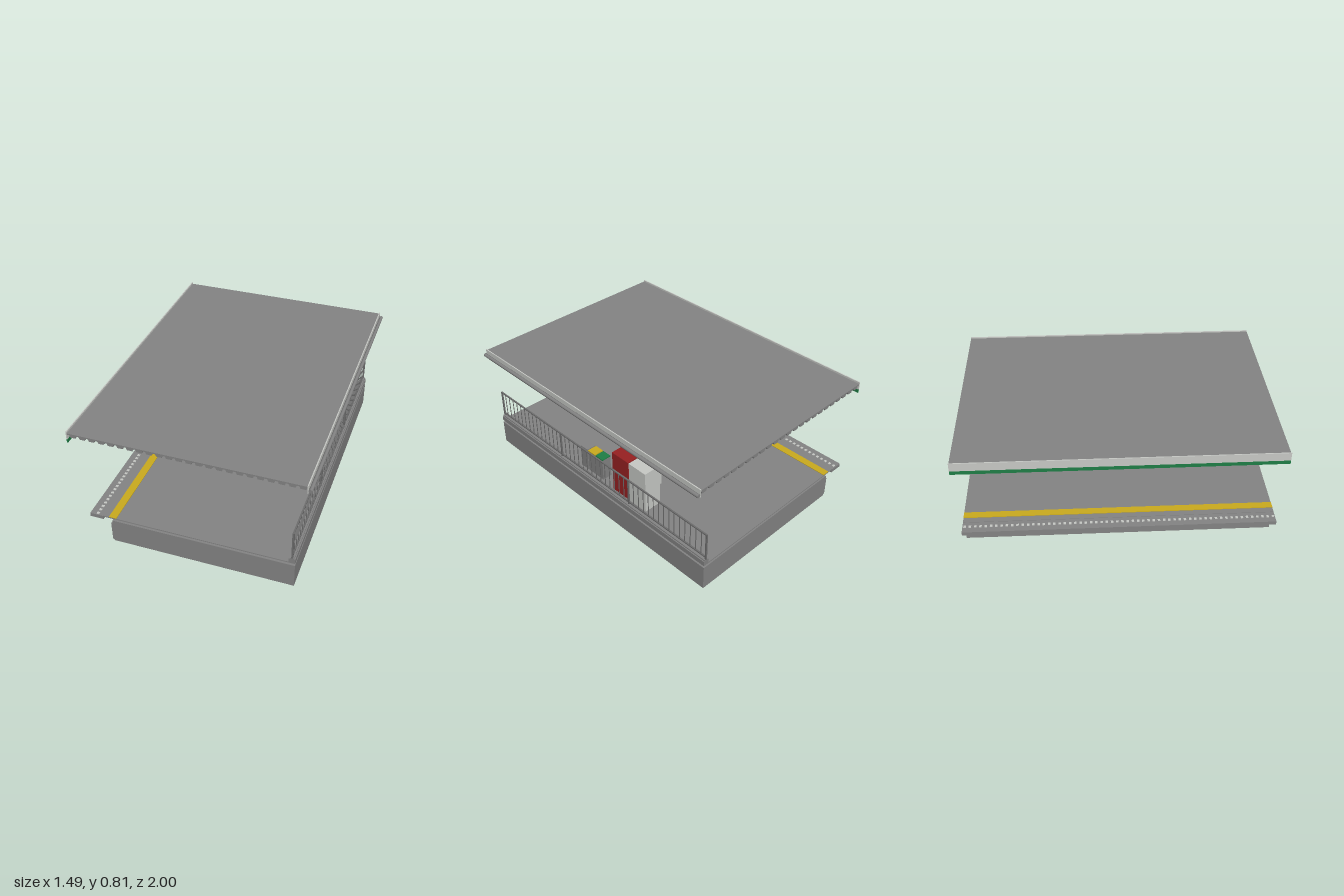
import * as THREE from 'three';

const mat = (name, color) => {
  const m = new THREE.MeshStandardMaterial({ color });
  m.name = name;
  return m;
};

export function createModel() {
  const root = new THREE.Group();
  root.name = 'stationPlatform';
  const grey = mat('concreteGrey', 0x848484);
  const steel = mat('steelGrey', 0x6e6e6e);
  const light = mat('lightGrey', 0xc8cac6);
  const dark = mat('darkGrey', 0x454545);
  const red = mat('machineRed', 0x982022);
  const yellow = mat('safetyYellow', 0xcbab1e);
  const green = mat('stripeGreen', 0x1f7f46);

  // box given by its minimum and maximum on each axis
  const box = (name, m, x0, x1, y0, y1, z0, z1, parent = root) => {
    const mesh = new THREE.Mesh(new THREE.BoxGeometry(x1 - x0, y1 - y0, z1 - z0), m);
    mesh.position.set((x0 + x1) / 2, (y0 + y1) / 2, (z0 + z1) / 2);
    mesh.name = name;
    parent.add(mesh);
    return mesh;
  };
  // front-view outline extruded along z
  const extrude = (name, m, points, z0, z1, parent = root) => {
    const shape = new THREE.Shape(points.map(([x, y]) => new THREE.Vector2(x, y)));
    const geo = new THREE.ExtrudeGeometry(shape, { depth: z1 - z0, bevelEnabled: false });
    const mesh = new THREE.Mesh(geo, m);
    mesh.position.z = z0;
    mesh.name = name;
    parent.add(mesh);
    return mesh;
  };
  const group = (name) => {
    const g = new THREE.Group();
    g.name = name;
    root.add(g);
    return g;
  };

  // platform: foundation, floating deck slab, edge block and tactile strips
  const platform = group('platform');
  box('foundation', grey, -0.51, 0.67, 0, 0.17, -1, 1, platform);
  box('foundationLedge', grey, -0.52, -0.51, 0.01, 0.145, -1, 1, platform);
  box('deckSlab', grey, -0.57, 0.67, 0.186, 0.193, -1, 1, platform);
  box('edgeBlock', grey, -0.66, -0.57, 0.165, 0.19, -1, 1, platform);
  box('yellowStrip', yellow, -0.53, -0.48, 0.193, 0.197, -1, 1, platform);
  const studs = new THREE.InstancedMesh(new THREE.BoxGeometry(0.018, 0.004, 0.016), light, 1);
  for (let i = 0; i < 60; i++) {
    const z = -0.985 + i * 0.0334;
    const stud = new THREE.Mesh(studs.geometry, light);
    stud.name = 'edgeStud';
    stud.position.set(-0.61, 0.192, z);
    platform.add(stud);
  }

  // kerb and railing
  const railing = group('railing');
  box('kerb', grey, 0.63, 0.67, 0.193, 0.22, -1, 1, railing);
  box('kerbCap', grey, 0.637, 0.663, 0.22, 0.228, -1, 1, railing);
  for (const y of [0.245, 0.42]) box('rail', steel, 0.645, 0.655, y - 0.004, y + 0.004, -1, 1, railing);
  for (const z of [-0.995, -0.333, 0.333, 0.995])
    box('railPost', steel, 0.645, 0.655, 0.225, 0.425, z - 0.005, z + 0.005, railing);
  for (let i = 1; i < 45; i++) {
    const z = -1 + (i * 2) / 45;
    box('baluster', steel, 0.648, 0.652, 0.245, 0.42, z - 0.002, z + 0.002, railing);
  }

  // column built from slim plates and a rear post
  const column = group('column');
  box('basePlate', steel, 0.235, 0.315, 0.193, 0.2, -0.045, 0.03, column);
  box('frontPlate', grey, 0.252, 0.3, 0.2, 0.72, 0.016, 0.02, column);
  box('webPlate', grey, 0.252, 0.3, 0.2, 0.72, -0.002, 0.001, column);
  box('rearPost', steel, 0.252, 0.312, 0.2, 0.74, -0.04, -0.025, column);
  box('speaker', light, 0.22, 0.25, 0.67, 0.718, -0.02, 0.02, column);
  box('yellowSign', yellow, 0.195, 0.293, 0.545, 0.608, 0.02, 0.028, column);

  // canopy: ribbed sheet with its ribs running along z
  const canopy = group('canopy');
  const ribs = 24, left = -0.738, pitch = 1.453 / ribs;
  const outline = [];
  for (let i = 0; i < ribs; i++) {
    const x = left + i * pitch;
    outline.push([x, 0.789], [x + pitch * 0.25, 0.789], [x + pitch * 0.35, 0.773], [x + pitch * 0.9, 0.773]);
  }
  outline.push([0.715, 0.789], [0.715, 0.798], [left, 0.798]);
  extrude('ribbedRoof', grey, outline, -1, 1, canopy);

  // canopy beams
  for (const z of [-0.67, 0, 0.67])
    box('crossBeam', grey, -0.738, 0.715, 0.75, 0.778, z - 0.014, z + 0.014, canopy);
  extrude('taperedBeam', grey,
    [[-0.55, 0.752], [0.23, 0.714], [0.31, 0.714], [0.66, 0.752]], -0.02, 0.02, canopy);

  // strip lights
  for (const x of [-0.195, 0.435]) {
    box('lightHousing', steel, x - 0.018, x + 0.018, 0.758, 0.775, -0.6, 0.6, canopy);
    box('lightPanel', light, x - 0.012, x + 0.012, 0.753, 0.758, -0.6, 0.6, canopy);
  }

  // fascias and gutter pipe
  box('trackFascia', light, -0.745, -0.738, 0.755, 0.81, -1, 1, canopy);
  box('greenStripe', green, -0.745, -0.738, 0.73, 0.755, -1, 1, canopy);
  box('rearFascia', light, 0.715, 0.722, 0.752, 0.806, -1, 1, canopy);
  const gutter = new THREE.Mesh(new THREE.CylinderGeometry(0.012, 0.012, 2, 12), grey);
  gutter.rotation.x = Math.PI / 2;
  gutter.position.set(0.733, 0.768, 0);
  gutter.name = 'gutterPipe';
  canopy.add(gutter);

  // two vending machines facing the track
  const vending = (name, body, z0, z1) => {
    const g = group(name);
    box('cabinet', body, 0.475, 0.6, 0.193, 0.495, z0, z1, g);
    box('displayHood', body, 0.456, 0.475, 0.335, 0.483, z0 + 0.008, z1 - 0.008, g);
    box('displayWindow', light, 0.453, 0.456, 0.39, 0.47, z0 + 0.018, z1 - 0.018, g);
    box('buttonPanel', dark, 0.453, 0.456, 0.345, 0.38, z0 + 0.018, z1 - 0.018, g);
    box('coinPanel', dark, 0.469, 0.475, 0.285, 0.325, z0 + 0.02, z0 + 0.06, g);
    box('dispenserFlap', dark, 0.469, 0.475, 0.22, 0.255, z0 + 0.025, z1 - 0.025, g);
  };
  vending('redVendingMachine', red, -0.278, -0.13);
  vending('lightVendingMachine', light, -0.433, -0.285);

  // three bins with coloured lids
  [[0.135, grey], [0.06, yellow], [-0.015, green]].forEach(([z, lid]) => {
    const g = group('bin');
    box('binBody', grey, 0.52, 0.588, 0.193, 0.35, z, z + 0.068, g);
    box('binLid', lid, 0.52, 0.588, 0.35, 0.357, z, z + 0.068, g);
    box('binSlot', dark, 0.518, 0.52, 0.31, 0.33, z + 0.015, z + 0.053, g);
  });

  return root;
}
